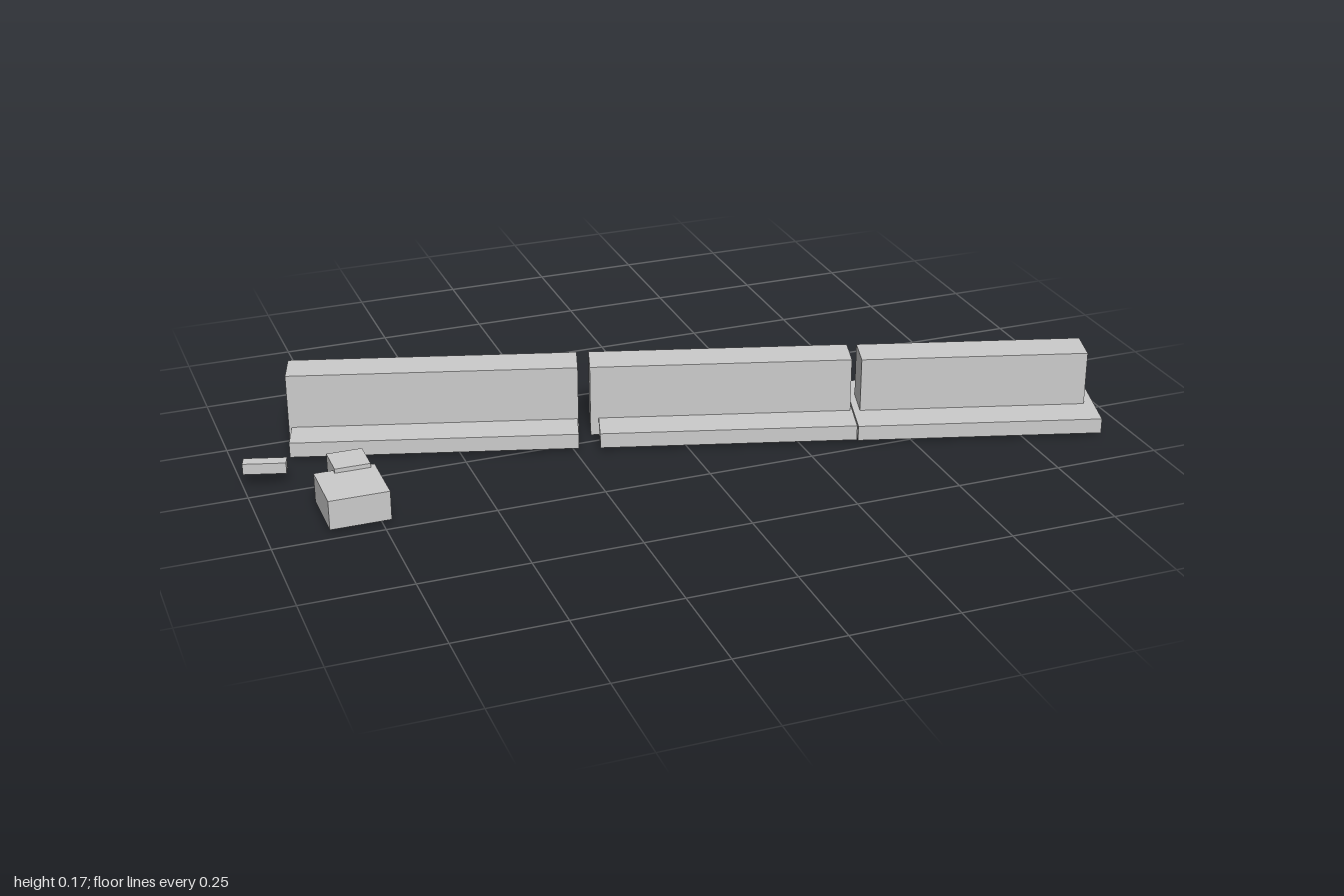
import * as THREE from 'three';

const material = new THREE.MeshStandardMaterial({ color: 0xcccccc, flatShading: true });
const YAW = -0.289; // the barrier row runs diagonally across the ground

export function createModel() {
  const model = new THREE.Group();

  // box given by plan centre, bottom and top heights, and plan size
  function block(name, x, z, length, depth, bottom, top, yaw = 0) {
    const mesh = new THREE.Mesh(new THREE.BoxGeometry(length, top - bottom, depth), material);
    mesh.name = name;
    mesh.position.set(x, (bottom + top) / 2, z);
    mesh.rotation.y = yaw;
    model.add(mesh);
  }

  // three barrier segments: a wall standing through a low base slab
  const segments = [
    { name: 'right', slab: [-0.521, -0.178, 0.66], wall: [-0.523, -0.179, 0.669] },
    { name: 'middle', slab: [0.127, 0.016, 0.595], wall: [0.116, 0.011, 0.609] },
    { name: 'left', slab: [0.687, 0.186, 0.571], wall: [0.684, 0.182, 0.532] },
  ];
  for (const { name, slab, wall } of segments) {
    block(name + 'BaseSlab', ...slab, 0.253, 0.007, 0.043, YAW);
    block(name + 'Wall', ...wall, 0.089, 0, 0.173, YAW);
  }

  // loose pieces beside the right end
  block('largeCrate', -0.798, 0.15, 0.137, 0.14, 0.006, 0.075);
  block('smallCrate', -0.782, 0.055, 0.081, 0.08, 0, 0.085);
  block('looseBar', -0.948, -0.055, 0.097, 0.029, 0.031, 0.057, YAW);

  return model;
}
